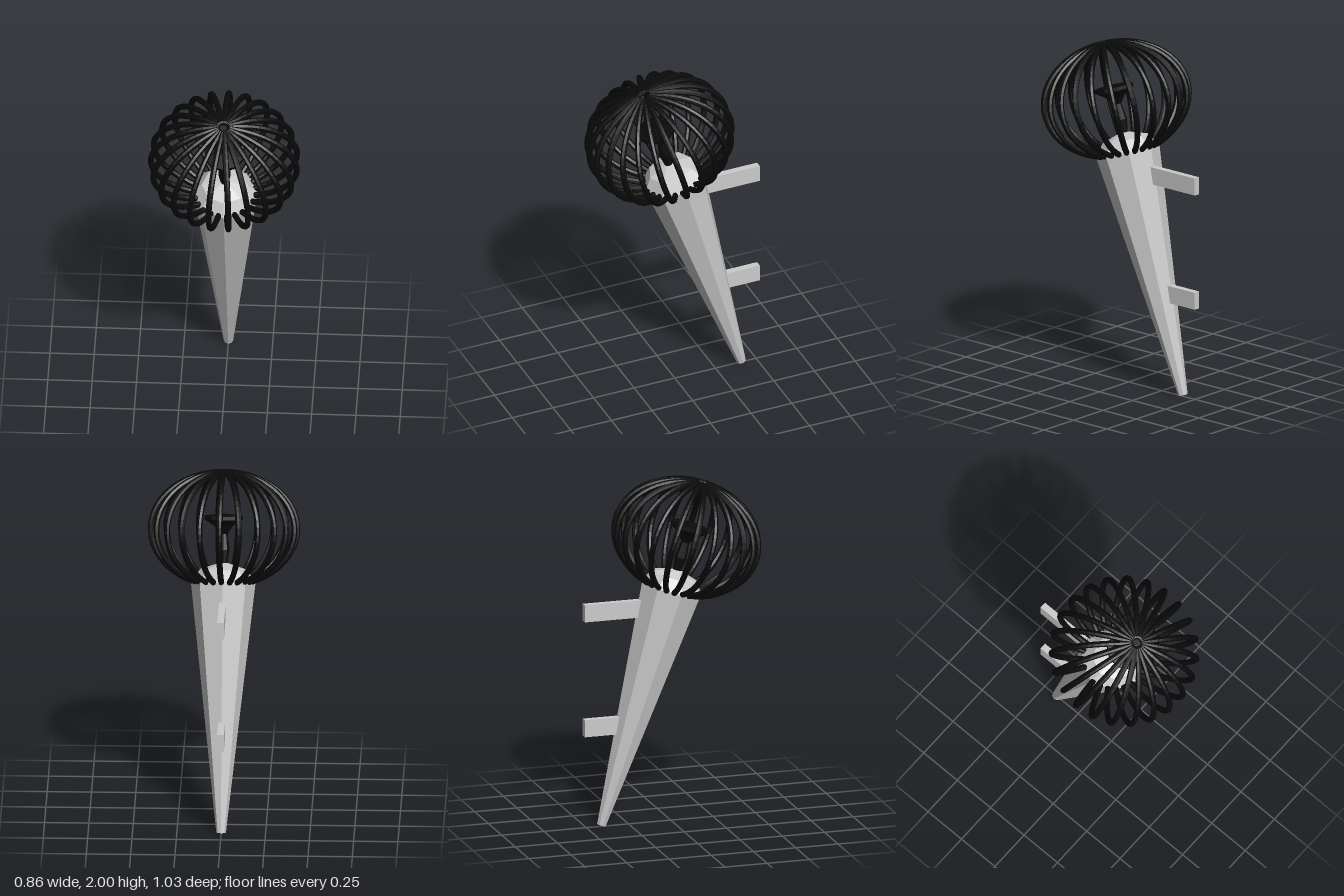
import * as THREE from 'three';

const TILT = 0.2975;      // forward lean of the torch
const LENGTH = 1.42;      // handle length along the axis
const grey = new THREE.MeshStandardMaterial({ color: 0xcccccc, flatShading: true });
const black = new THREE.MeshStandardMaterial({ color: 0x0a0a0a, flatShading: true });

function addMesh(parent, name, geometry, material) {
  const mesh = new THREE.Mesh(geometry, material);
  mesh.name = name;
  parent.add(mesh);
  return mesh;
}

const lathe = (profile, sides) =>
  new THREE.LatheGeometry(profile.map(([r, y]) => new THREE.Vector2(r, y)), sides);

// One curved bar of the cage, running over an ellipse from the crown to the rim
function ribGeometry() {
  const radius = 0.414, height = 0.322, centre = 0.297;
  const start = 0.09, end = Math.PI - 0.42, steps = 18;
  const points = [];
  for (let i = 0; i <= steps; i++) {
    const a = start + (end - start) * i / steps;
    points.push(new THREE.Vector3(0, centre + height * Math.cos(a), radius * Math.sin(a)));
  }
  const curve = new THREE.CatmullRomCurve3(points);
  const tube = new THREE.TubeGeometry(curve, 24, 0.017, 8, false);
  return tube;
}

export function createModel() {
  const model = new THREE.Group();
  model.name = 'wallTorch';

  // Leaning torch: everything along the tilted axis
  const torch = new THREE.Group();
  torch.name = 'torch';
  torch.position.set(0, 0.01, -0.41);
  torch.rotation.x = TILT;
  model.add(torch);

  // Tapered eight-sided handle
  const handle = addMesh(torch, 'handle',
    new THREE.CylinderGeometry(0.183, 0.027, LENGTH, 8), grey);
  handle.position.y = LENGTH / 2;

  // Head parts sit on the handle's rim
  const head = new THREE.Group();
  head.name = 'head';
  head.position.y = LENGTH;
  torch.add(head);

  // Low dome closing the handle
  addMesh(head, 'domeCap', lathe([[0.183, 0], [0.13, 0.07], [0, 0.113]], 8), grey);

  // Burner: slim bulging stem with a flared dish
  addMesh(head, 'burner', lathe([
    [0, 0.08], [0.022, 0.09], [0.036, 0.18], [0.024, 0.27],
    [0.055, 0.315], [0.113, 0.352], [0.113, 0.372], [0, 0.385],
  ], 10), black);

  // Cage of evenly spaced ribs
  const cage = new THREE.Group();
  cage.name = 'cage';
  head.add(cage);
  const ribs = 23, rib = ribGeometry();
  const ribEnd = new THREE.SphereGeometry(0.017, 8, 4);
  const path = rib.parameters.path;
  for (let i = 0; i < ribs; i++) {
    const bar = new THREE.Group();
    bar.name = 'cageBar';
    bar.rotation.y = Math.PI - 0.035 + i * 2 * Math.PI / ribs;
    addMesh(bar, 'rib', rib, black);
    for (const t of [0, 1]) {
      addMesh(bar, 'ribEnd', ribEnd, black).position.copy(path.getPoint(t));
    }
    cage.add(bar);
  }

  // Wall brackets: [centre height, front z]
  for (const [y, front] of [[1.262, -0.15], [0.588, -0.27]]) {
    const back = -0.515;
    const bracket = addMesh(model, 'wallBracket',
      new THREE.BoxGeometry(0.038, 0.1, front - back), grey);
    bracket.position.set(0, y, (front + back) / 2);
  }

  return model;
}
